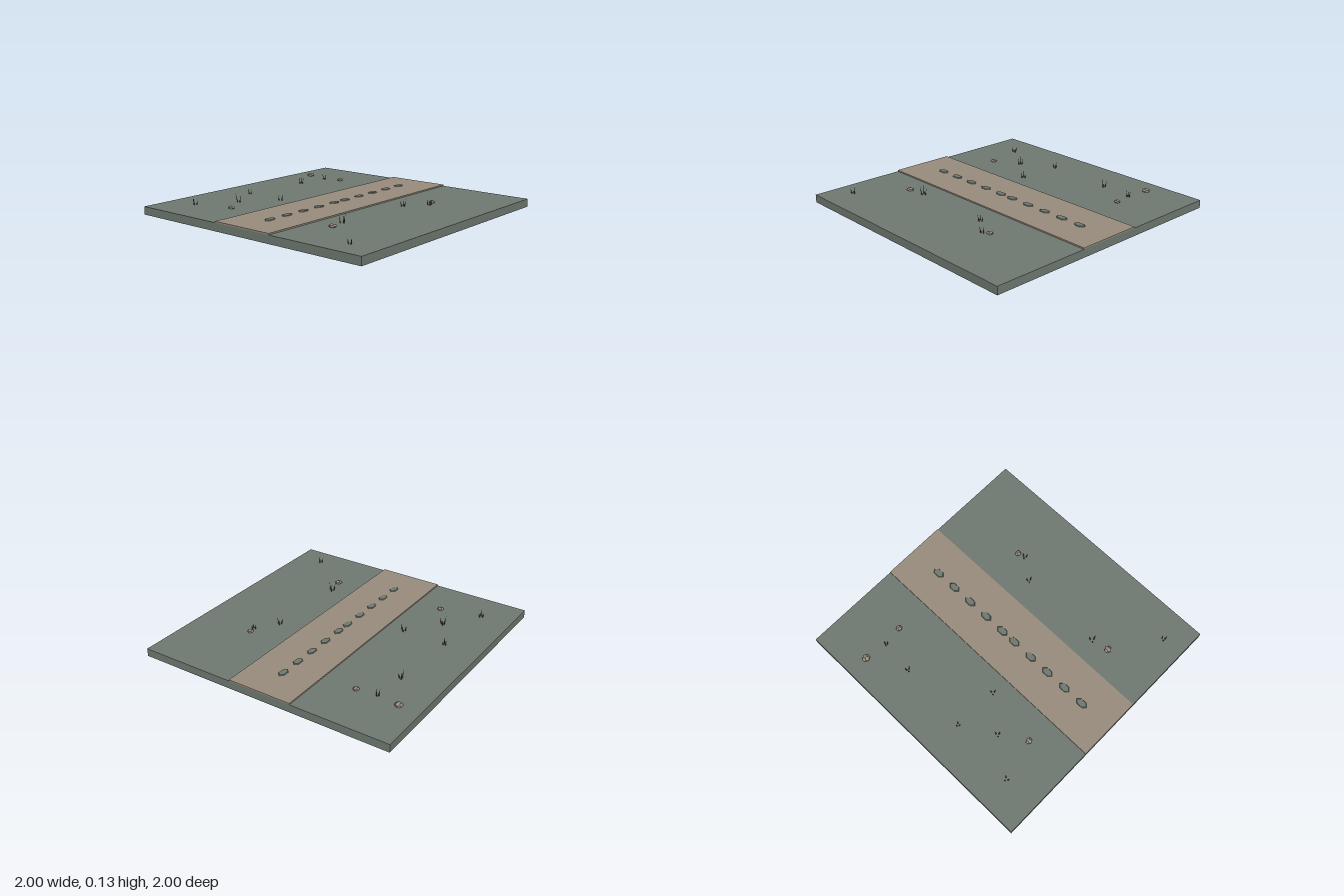
import * as THREE from 'three';

export function createModel() {
  const model = new THREE.Group();
  model.name = 'dirtRoadTile';

  const mat = (name, color, flatShading = true) => {
    const m = new THREE.MeshStandardMaterial({ color, flatShading });
    m.name = name;
    return m;
  };
  const ground = mat('mossGreen', 0x707a72);
  const dirt = mat('sandBrown', 0x998d7e);
  const dry = mat('dryGrassBrown', 0x594b40);

  const add = (parent, name, geometry, material, x, y, z) => {
    const mesh = new THREE.Mesh(geometry, material);
    mesh.name = name;
    mesh.position.set(x, y, z);
    parent.add(mesh);
    return mesh;
  };
  const group = (name) => {
    const g = new THREE.Group();
    g.name = name;
    model.add(g);
    return g;
  };

  // Ground slab and raised road strip
  const TOP = 0.06;
  add(model, 'groundSlab', new THREE.BoxGeometry(2, TOP, 2), ground, 0, TOP / 2, 0);
  add(model, 'roadStrip', new THREE.BoxGeometry(0.5, 0.01, 2), dirt, 0, TOP + 0.005, 0);

  // Row of six-sided moss patches along the road centre
  const patches = group('mossPatches');
  const patchGeo = new THREE.CylinderGeometry(0.85, 1, 1, 6);
  for (const z of [0.06, 0.228, 0.395, 0.562, 0.73]) {
    for (const side of [-1, 1]) {
      add(patches, 'mossPatch', patchGeo, ground, 0, 0.072, side * z).scale.set(0.03, 0.007, 0.05);
    }
  }

  // Flattened stones: x, z, radius
  const stones = group('stones');
  const stoneGeo = new THREE.DodecahedronGeometry(1, 0);
  for (const [x, z, r] of [
    [-0.84, -0.625, 0.03], [-0.515, -0.622, 0.024], [0.535, -0.415, 0.024],
    [0.435, 0.592, 0.028], [-0.46, 0.65, 0.025],
  ]) {
    add(stones, 'stone', stoneGeo, dirt, x, 0.071, z).scale.set(r, r * 0.5, r);
  }

  // Grass tufts: x, z, blade height, spread, turn
  const tufts = group('grassTufts');
  const bladeGeo = new THREE.ConeGeometry(0.005, 1, 4).translate(0, 0.5, 0);
  const up = new THREE.Vector3(0, 1, 0);
  for (const [x, z, h, spread, turn] of [
    [-0.665, -0.6, 0.062, 0.011, 0.4], [-0.69, -0.34, 0.068, 0.014, 1.9],
    [0.55, -0.36, 0.05, 0.016, 0.7], [0.43, -0.2, 0.058, 0.017, 0.1],
    [-0.725, 0.21, 0.05, 0.013, 1.2], [-0.385, 0.22, 0.052, 0.017, 0.3],
    [-0.58, 0.46, 0.075, 0.016, 2.3], [0.41, 0.46, 0.075, 0.02, 0.2],
    [-0.765, 0.725, 0.05, 0.017, 1.1], [0.78, 0.832, 0.05, 0.015, 0.5],
  ]) {
    const tuft = new THREE.Group();
    tuft.name = 'grassTuft';
    tuft.position.set(x, TOP, z);
    tufts.add(tuft);
    for (let i = 0; i < 3; i++) {
      const a = turn + (i * Math.PI * 2) / 3;
      const dx = Math.cos(a), dz = Math.sin(a);
      const blade = add(tuft, 'blade', bladeGeo, dry, dx * spread * 0.75, 0, dz * spread * 0.75);
      blade.scale.y = h * (1 - 0.14 * i);
      blade.quaternion.setFromUnitVectors(up, new THREE.Vector3(dx * 0.2, 1, dz * 0.2).normalize());
    }
  }

  return model;
}
